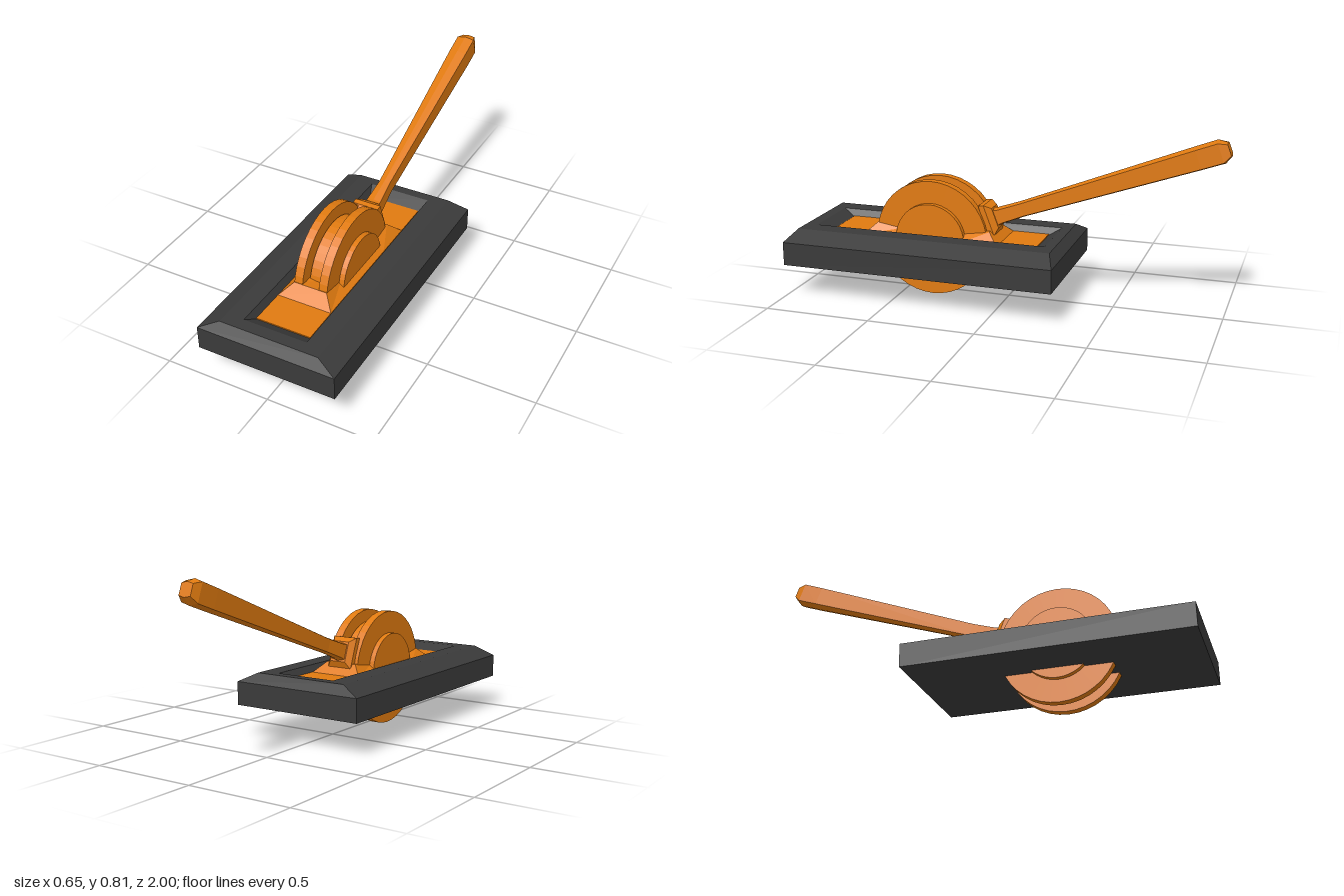
import * as THREE from 'three';

const orange = new THREE.MeshStandardMaterial({ color: 0xe07a10, flatShading: true });
const dark = new THREE.MeshStandardMaterial({ color: 0x3a3a3a, flatShading: true });

// Joins cross-sections (loops of [x, y, z]) into a solid with closed ends
function loft(name, rings, material) {
  const n = rings[0].length;
  const index = [];
  for (let r = 0; r < rings.length - 1; r++) {
    for (let i = 0; i < n; i++) {
      const j = (i + 1) % n;
      const a = r * n + i, b = r * n + j, c = b + n, d = a + n;
      index.push(a, b, c, a, c, d);
    }
  }
  const last = (rings.length - 1) * n;
  for (let i = 1; i < n - 1; i++) {
    index.push(0, i + 1, i, last, last + i, last + i + 1);
  }
  const indexed = new THREE.BufferGeometry();
  indexed.setAttribute('position', new THREE.Float32BufferAttribute(rings.flat(2), 3));
  indexed.setIndex(index);
  const geometry = indexed.toNonIndexed();
  geometry.computeVertexNormals();
  const mesh = new THREE.Mesh(geometry, material);
  mesh.name = name;
  return mesh;
}

const rect = (hx, z0, z1, y) => [[-hx, y, z1], [hx, y, z1], [hx, y, z0], [-hx, y, z0]];

// Six-sided section with a ridge at top and bottom
const hex = (s, w, h) => [
  [0, s, h], [w, s, h * 0.8], [w, s, -h * 0.8],
  [0, s, -h], [-w, s, -h * 0.8], [-w, s, h * 0.8],
];

// Rectangle with dipped points along its long sides
const collarRing = (hx, z0, z1, y, dip) => [
  [-hx, y, z1], [hx, y, z1], [hx, y - dip, 0.5], [hx, y - dip, 0.2],
  [hx, y, z0], [-hx, y, z0], [-hx, y - dip, 0.2], [-hx, y - dip, 0.5],
];

export function createModel() {
  const model = new THREE.Group();
  model.name = 'leverSwitch';

  // Bevelled base with a sloping recess
  model.add(loft('base', [
    rect(0.327, -0.295, 1, 0.155),
    rect(0.327, -0.295, 1, 0.265),
    rect(0.235, -0.26, 0.965, 0.31),
    rect(0.15, -0.215, 0.91, 0.31),
    rect(0.13, -0.155, 0.85, 0.275),
  ], dark));

  // Panel in the recess and the raised collar around the wheels
  model.add(loft('panel', [
    rect(0.13, -0.155, 0.85, 0.26),
    rect(0.13, -0.155, 0.85, 0.28),
  ], orange));
  model.add(loft('collar', [
    collarRing(0.13, 0.02, 0.68, 0.28, 0),
    collarRing(0.079, 0.07, 0.625, 0.33, 0.02),
  ], orange));

  // Wheels and lever share the pivot
  const pivot = new THREE.Group();
  pivot.name = 'wheelAssembly';
  pivot.position.set(0, 0.275, 0.355);
  model.add(pivot);

  const disc = (name, radius, x0, x1) => {
    const geometry = new THREE.CylinderGeometry(radius, radius, x1 - x0, 40);
    geometry.rotateZ(Math.PI / 2);
    const mesh = new THREE.Mesh(geometry, orange);
    mesh.name = name;
    mesh.position.x = (x0 + x1) / 2;
    pivot.add(mesh);
  };
  disc('middleWheel', 0.217, -0.035, 0.035);
  disc('leftWheel', 0.273, 0.04, 0.08);
  disc('rightWheel', 0.273, -0.08, -0.04);
  disc('leftHub', 0.168, 0.079, 0.105);
  disc('rightHub', 0.168, -0.105, -0.079);

  // Lever, built along its own y axis and tilted backwards
  const lever = new THREE.Group();
  lever.name = 'lever';
  lever.rotation.x = -1.213;
  pivot.add(lever);

  const footRing = (s, w, h) => rect(w, -h, h, s);
  lever.add(loft('leverFoot', [
    footRing(0.2, 0.034, 0.06),
    footRing(0.265, 0.034, 0.075),
    footRing(0.27, 0.063, 0.08),
    footRing(0.295, 0.063, 0.075),
    footRing(0.32, 0.04, 0.048),
  ], orange));
  lever.add(loft('leverHandle', [
    hex(0.3, 0.036, 0.048),
    hex(0.34, 0.033, 0.04),
    hex(0.45, 0.026, 0.037),
    hex(1.3, 0.043, 0.054),
    hex(1.4, 0.043, 0.055),
    hex(1.437, 0.03, 0.032),
  ], orange));

  return model;
}
